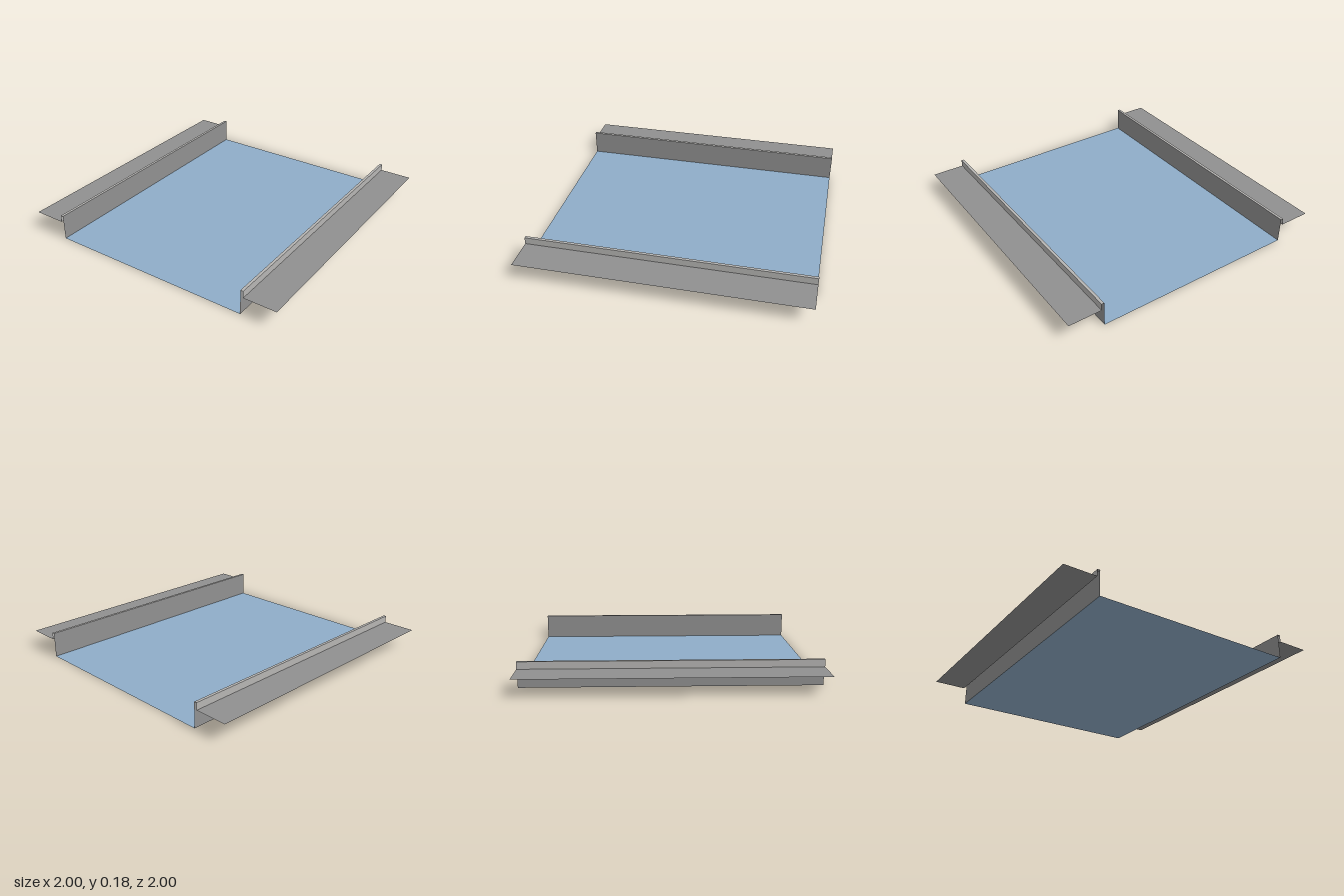
import * as THREE from 'three';

const LENGTH = 2;
const INNER = 0.745, OUTER = 0.765, EDGE = 1;
const RIDGE = 0.18, LEDGE = 0.13;

function sheetMaterial(name, color) {
  const m = new THREE.MeshStandardMaterial({ color, side: THREE.DoubleSide });
  m.name = name;
  return m;
}

// Flat sheet running along z between two points of the cross-section
function strip(name, [x0, y0], [x1, y1], material) {
  const geometry = new THREE.PlaneGeometry(Math.hypot(x1 - x0, y1 - y0), LENGTH);
  geometry.rotateX(-Math.PI / 2);
  geometry.rotateZ(Math.atan2(y1 - y0, x1 - x0));
  geometry.translate((x0 + x1) / 2, (y0 + y1) / 2, 0);
  const mesh = new THREE.Mesh(geometry, material);
  mesh.name = name;
  return mesh;
}

export function createModel() {
  const blue = sheetMaterial('pale blue', 0x8fadc8);
  const grey = sheetMaterial('mid grey', 0x909090);
  const light = sheetMaterial('light grey', 0xb6b5b3);

  const model = new THREE.Group();
  model.name = 'channel';

  // Channel floor
  model.add(strip('floor', [-INNER, 0], [INNER, 0], blue));

  // Matching bank on each side: wall, raised curb and flat outer ledge
  for (const s of [1, -1]) {
    const bank = new THREE.Group();
    bank.name = s > 0 ? 'leftBank' : 'rightBank';
    // Points are ordered so that outward faces stay on the front side
    const add = (name, a, b, material) => {
      const p = [s * a[0], a[1]], q = [s * b[0], b[1]];
      bank.add(s > 0 ? strip(name, p, q, material) : strip(name, q, p, material));
    };
    add('wall', [INNER, 0], [INNER, RIDGE], grey);
    add('curbTop', [INNER, RIDGE], [OUTER, RIDGE], light);
    add('curbSide', [OUTER, RIDGE], [OUTER, LEDGE], light);
    add('ledge', [OUTER, LEDGE], [EDGE, LEDGE], grey);
    model.add(bank);
  }
  return model;
}
